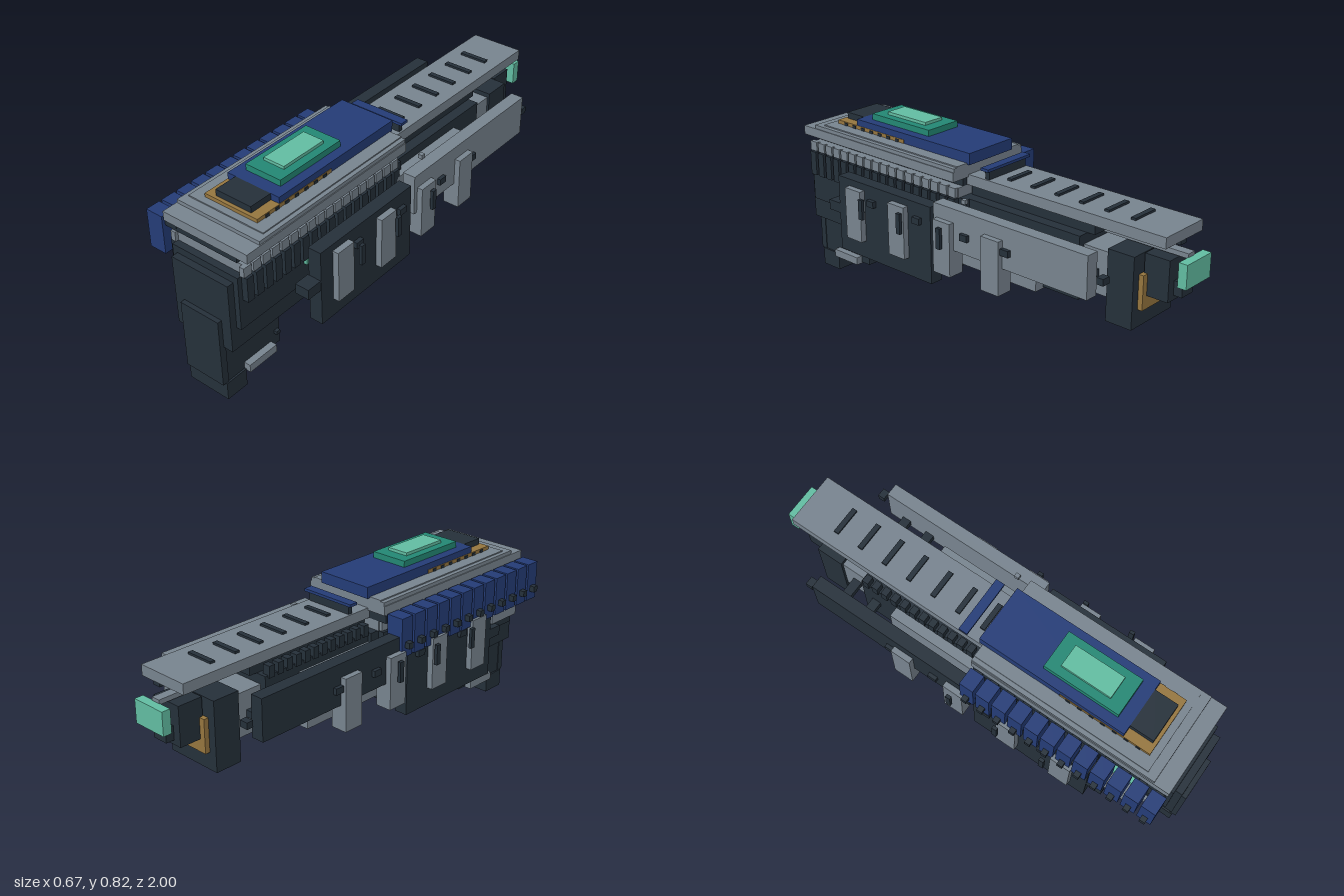
import * as THREE from 'three';

const mat = (name, color) => {
  const m = new THREE.MeshStandardMaterial({ color });
  m.name = name;
  return m;
};

export function createModel() {
  const model = new THREE.Group();
  model.name = 'armouredHull';
  const dark = mat('darkSteel', 0x25303a), grey = mat('greyPlate', 0x78848f), blue = mat('navyBlue', 0x243c77);
  const teal = mat('teal', 0x238874), mint = mat('mint', 0x62bda2), brass = mat('brass', 0x96763f);

  // Box given by its lower and upper limits on each axis
  const box = (name, m, x0, x1, y0, y1, z0, z1) => {
    const mesh = new THREE.Mesh(new THREE.BoxGeometry(x1 - x0, y1 - y0, z1 - z0), m);
    mesh.position.set((x0 + x1) / 2, (y0 + y1) / 2, (z0 + z1) / 2);
    mesh.name = name;
    model.add(mesh);
  };
  const mid = (name, m, hw, ...r) => box(name, m, -hw, hw, ...r);
  const pair = (name, m, x0, x1, ...r) => {
    box(name + 'Left', m, x0, x1, ...r);
    box(name + 'Right', m, -x1, -x0, ...r);
  };

  // Front leg and foot
  mid('toe', dark, 0.1, 0, 0.08, 0.88, 0.985);
  mid('frontLeg', dark, 0.092, 0.08, 0.27, 0.68, 0.98);
  mid('legFrontPlate', dark, 0.095, 0.08, 0.39, 0.97, 1.0);
  mid('footPlate', grey, 0.122, 0.075, 0.11, 0.73, 0.88);
  mid('legPin', dark, 0.107, 0.137, 0.152, 0.69, 0.71);

  // Hull, stepping up towards the back
  mid('frontHull', dark, 0.14, 0.26, 0.57, 0.09, 0.98);
  mid('upperHull', dark, 0.163, 0.36, 0.6, 0, 0.95);
  mid('middleHull', dark, 0.14, 0.3, 0.6, -0.235, 0.09);
  mid('rearHull', dark, 0.147, 0.335, 0.6, -0.565, 0);
  mid('greyWaist', grey, 0.19, 0.327, 0.56, -0.39, 0.06);
  mid('rearBeam', grey, 0.12, 0.375, 0.56, -0.69, -0.56);

  // Rear block, nozzle and end plate
  mid('rearBlock', dark, 0.13, 0.28, 0.58, -0.805, -0.685);
  mid('brassBackPlate', brass, 0.095, 0.355, 0.5, -0.826, -0.8);
  mid('rearHousing', dark, 0.07, 0.41, 0.58, -0.92, -0.81);
  mid('rearKnob', dark, 0.035, 0.43, 0.49, -0.957, -0.92);
  mid('rearRod', grey, 0.02, 0.585, 0.605, -0.965, -0.5);
  mid('endPlate', mint, 0.078, 0.49, 0.59, -1.0, -0.962);

  // Rear deck with cross slots
  mid('deckSupport', dark, 0.1, 0.6, 0.65, -0.6, 0.03);
  mid('rearDeck', grey, 0.118, 0.645, 0.69, -0.93, 0.04);
  for (let i = 0; i < 7; i++) {
    const z = -0.745 + i * 0.121;
    mid('deckSlot' + i, dark, 0.063, 0.685, 0.699, z - 0.011, z + 0.011);
  }
  mid('blueCrossStrip', blue, 0.128, 0.728, 0.74, -0.085, -0.045);
  mid('darkCrossStrip', dark, 0.11, 0.69, 0.728, -0.075, -0.055);
  for (let i = 0; i < 12; i++) {
    const z = -0.55 + i * 0.047;
    box('deckTooth' + i, dark, -0.155, -0.12, 0.59, 0.64, z, z + 0.028);
  }

  // Stacked top plates
  mid('lowerTopPlate', grey, 0.168, 0.6, 0.643, 0.04, 0.92);
  box('darkGapPlate', dark, -0.208, 0.14, 0.643, 0.68, 0.04, 0.925);
  mid('mainTopPlate', grey, 0.208, 0.68, 0.72, 0.03, 0.94);
  mid('secondTopPlate', grey, 0.204, 0.719, 0.736, 0.03, 0.87);
  mid('raisedTopPlate', grey, 0.185, 0.735, 0.741, 0.03, 0.83);
  mid('brassPlate', brass, 0.13, 0.735, 0.757, 0.39, 0.8);
  mid('blueDeck', blue, 0.128, 0.736, 0.785, 0.015, 0.68);
  mid('darkHatch', dark, 0.087, 0.75, 0.785, 0.68, 0.785);
  mid('tealPanel', teal, 0.086, 0.78, 0.812, 0.285, 0.625);
  mid('mintPanel', mint, 0.05, 0.81, 0.825, 0.34, 0.565);
  for (let i = 0; i < 7; i++) {
    const z = 0.42 + i * 0.053;
    pair('brassEdgePin' + i, dark, 0.12, 0.133, 0.74, 0.753, z, z + 0.02);
  }

  // Ribs under the edge of the top plates
  for (let i = 0; i < 18; i++) {
    const z = 0.045 + i * 0.05;
    pair('greyRib' + i, grey, 0.16, 0.182, 0.601, 0.643, z, z + 0.04);
    pair('darkRib' + i, dark, 0.155, 0.19, 0.49, 0.598, z, z + 0.035);
  }

  // Row of blue fins along one side, each with a knob
  for (let i = 0; i < 12; i++) {
    const z = 0.037 + i * 0.0763;
    box('blueFin' + i, blue, -0.297, -0.218, 0.52, 0.69, z, z + 0.064);
    box('finArm' + i, dark, -0.22, -0.16, 0.645, 0.675, z + 0.015, z + 0.05);
    box('finKnob' + i, dark, -0.32, -0.295, 0.56, 0.586, z + 0.02, z + 0.045);
  }

  // Side skirts, rails and brackets
  pair('sideSkirt', dark, 0.222, 0.282, 0.24, 0.58, 0.09, 0.64);
  pair('skirtNose', dark, 0.216, 0.28, 0.405, 0.45, 0.64, 0.71);
  box('sideRailLeft', grey, 0.227, 0.284, 0.43, 0.609, -0.71, 0.07);
  box('sideRailRight', dark, -0.284, -0.227, 0.43, 0.609, -0.71, 0.07);
  [0.525, 0.265, 0.005, -0.253].forEach((z, i) => {
    pair('bracket' + i, grey, 0.235, 0.309, 0.32, 0.55, z - 0.046, z + 0.046);
  });
  [0.453, 0.227, 0].forEach((z, i) => pair('sideBar' + i, dark, 0.32, 0.334, 0.44, 0.53, z - 0.011, z + 0.011));
  [0.43, 0.16, -0.105, -0.32].forEach((z, i) => pair('sideLug' + i, dark, 0.28, 0.3, 0.492, 0.52, z - 0.02, z + 0.02));
  pair('railEndLug', dark, 0.23, 0.268, 0.5, 0.528, -0.77, -0.74);
  box('railTopLug', grey, 0.218, 0.237, 0.617, 0.635, -0.06, -0.04);

  // Struts and fittings between hull and skirts
  [0.55, 0.35, 0.15, -0.2].forEach((z, i) => pair('strut' + i, grey, 0.14, 0.235, 0.38, 0.405, z - 0.02, z + 0.02));
  [-0.5, -0.62].forEach((z, i) => pair('railArm' + i, dark, 0.1, 0.235, 0.45, 0.48, z - 0.02, z + 0.02));
  box('tealFitting', mint, 0.16, 0.178, 0.45, 0.488, 0.45, 0.6);
  box('sideTank', grey, -0.26, -0.16, 0.456, 0.556, 0.68, 0.85);
  box('tankCap', mint, -0.215, -0.165, 0.55, 0.579, 0.7, 0.83);
  const pipe = new THREE.Mesh(new THREE.CylinderGeometry(0.021, 0.021, 0.075, 12), brass);
  pipe.name = 'brassPipe';
  pipe.rotation.z = Math.PI / 2;
  pipe.position.set(-0.19, 0.412, 0.6);
  model.add(pipe);

  return model;
}
